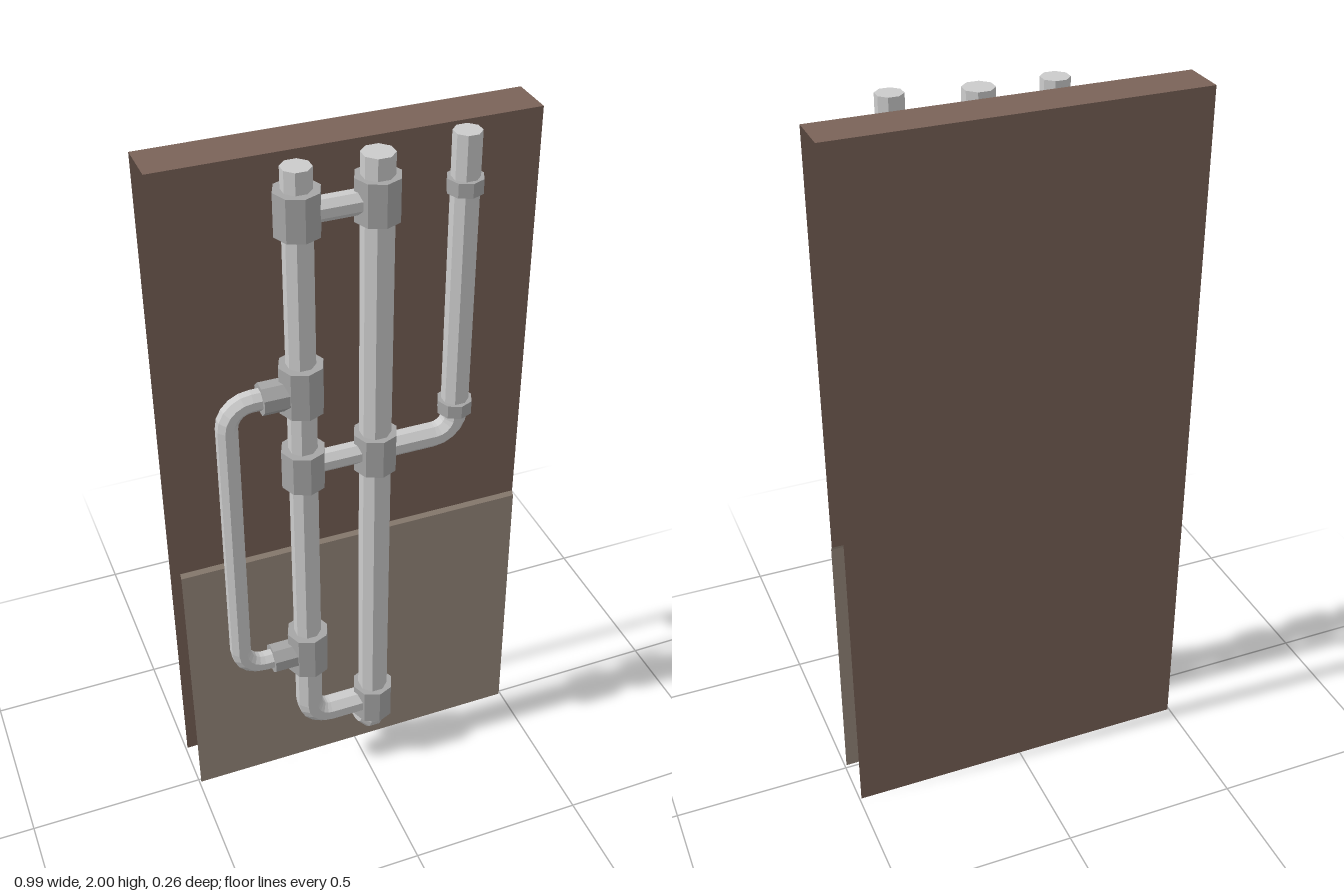
import * as THREE from 'three';

const Z = 0.07; // depth of the pipe plane
const AX = -0.166, BX = 0.033, CX = 0.256, UX = -0.364;

const mat = (color, extra = {}) => new THREE.MeshStandardMaterial({ color, flatShading: true, ...extra });
const V = (x, y, z = Z) => new THREE.Vector3(x, y, z);

// Octagonal pipe swept along a planar path whose corners are rounded by bend
function pipeGeometry(points, r, bend, binormal) {
  const stations = [];
  const dir = (a, b) => b.clone().sub(a).normalize();
  points.forEach((p, i) => {
    const tin = i > 0 ? dir(points[i - 1], p) : null;
    const tout = i < points.length - 1 ? dir(p, points[i + 1]) : null;
    if (!tin || !tout) return stations.push([p, tin || tout]);
    const steps = 5;
    const centre = p.clone().addScaledVector(tin, -bend).addScaledVector(tout, bend);
    for (let k = 0; k <= steps; k++) {
      const a = (k / steps) * Math.PI / 2, c = Math.cos(a), s = Math.sin(a);
      stations.push([
        centre.clone().addScaledVector(tout, -bend * c).addScaledVector(tin, bend * s),
        tin.clone().multiplyScalar(c).addScaledVector(tout, s),
      ]);
    }
  });
  const rings = stations.map(([p, t]) => {
    const n = binormal.clone().cross(t);
    return Array.from({ length: 8 }, (_, j) => {
      const a = (j + 0.5) * Math.PI / 4;
      return p.clone().addScaledVector(n, r * Math.cos(a)).addScaledVector(binormal, r * Math.sin(a));
    });
  });
  const tris = [];
  const last = rings.length - 1;
  for (let j = 0; j < 8; j++) {
    const k = (j + 1) % 8;
    for (let i = 0; i < last; i++) {
      const a = rings[i], b = rings[i + 1];
      tris.push(a[j], a[k], b[k], a[j], b[k], b[j]);
    }
    tris.push(stations[0][0], rings[0][k], rings[0][j]);
    tris.push(stations[last][0], rings[last][j], rings[last][k]);
  }
  const g = new THREE.BufferGeometry().setFromPoints(tris);
  g.computeVertexNormals();
  return g;
}

export function createModel() {
  const model = new THREE.Group();
  model.name = 'wallWithPipes';
  const steel = mat(0xcccccc), darkSteel = mat(0xa6a6a6);
  const brown = mat(0x7a6358, { side: THREE.DoubleSide });
  const taupe = mat(0x998a7d, { side: THREE.DoubleSide });

  const add = (parent, name, geometry, material) => {
    const mesh = new THREE.Mesh(geometry, material);
    mesh.name = name;
    parent.add(mesh);
    return mesh;
  };

  // Wall: a folded sheet, open at the sides and bottom
  const wall = new THREE.Group();
  wall.name = 'wall';
  model.add(wall);
  const panel = (name, [y0, z0], [y1, z1], material) => {
    const g = new THREE.PlaneGeometry(0.99, 1);
    const p = g.attributes.position;
    for (let i = 0; i < p.count; i++) {
      const low = p.getY(i) < 0;
      p.setXYZ(i, p.getX(i), low ? y0 : y1, low ? z0 : z1);
    }
    g.computeVertexNormals();
    add(wall, name, g, material);
  };
  panel('lowerPanel', [0, 0.01], [0.8, -0.004], taupe);
  panel('panelLedge', [0.8, -0.004], [0.812, -0.012], taupe);
  panel('upperPanel', [0.812, -0.012], [1.985, -0.012], brown);
  panel('topPanel', [1.985, -0.012], [1.985, -0.135], brown);
  panel('backPanel', [1.985, -0.135], [0, -0.135], brown);

  // Pipes
  const pipes = new THREE.Group();
  pipes.name = 'pipes';
  model.add(pipes);
  const front = V(0, 0, 1), side = V(1, 0, 0);
  const pipe = (name, points, r, bend = 0.06, binormal = front) =>
    add(pipes, name, pipeGeometry(points, r, bend, binormal), steel);

  pipe('leftPipe', [V(AX, 1.985), V(AX, 0.23), V(BX, 0.23)], 0.038);
  pipe('mainPipe', [V(BX, 1.985), V(BX, 0.118), V(BX, 0.118, -0.01)], 0.042, 0.06, side);
  pipe('upperCrossPipe', [V(AX, 1.868), V(BX, 1.868)], 0.031);
  pipe('middleCrossPipe', [V(AX, 1.148), V(BX, 1.148)], 0.031);
  pipe('branchElbow', [V(BX, 1.148), V(CX, 1.148), V(CX, 1.24)], 0.034);
  pipe('branchPipe', [V(CX, 1.22), V(CX, 2)], 0.036);
  pipe('bypassPipe', [V(AX, 1.38), V(UX, 1.38), V(UX, 0.493), V(AX, 0.493)], 0.029, 0.065);

  // Octagonal collars around the joints
  const collars = new THREE.Group();
  collars.name = 'collars';
  model.add(collars);
  const collar = (name, x, y, r, h) => {
    const mesh = add(collars, name, new THREE.CylinderGeometry(r, r, h, 8), darkSteel);
    mesh.position.set(x, y, Z);
    return mesh;
  };
  for (const [y, h] of [[1.873, 0.112], [1.392, 0.134], [1.147, 0.112], [0.5, 0.134]])
    collar('leftPipeCollar', AX, y, 0.059, h);
  for (const y of [1.873, 1.147, 0.23]) collar('mainPipeCollar', BX, y, 0.059, 0.112);
  for (const y of [1.865, 1.232]) collar('branchCollar', CX, y, 0.047, 0.038);
  for (const y of [1.38, 0.493]) {
    const c = collar('bypassCollar', -0.235, y, 0.043, 0.08);
    c.rotation.set(0, Math.PI / 8, Math.PI / 2, 'ZYX');
  }
  return model;
}
